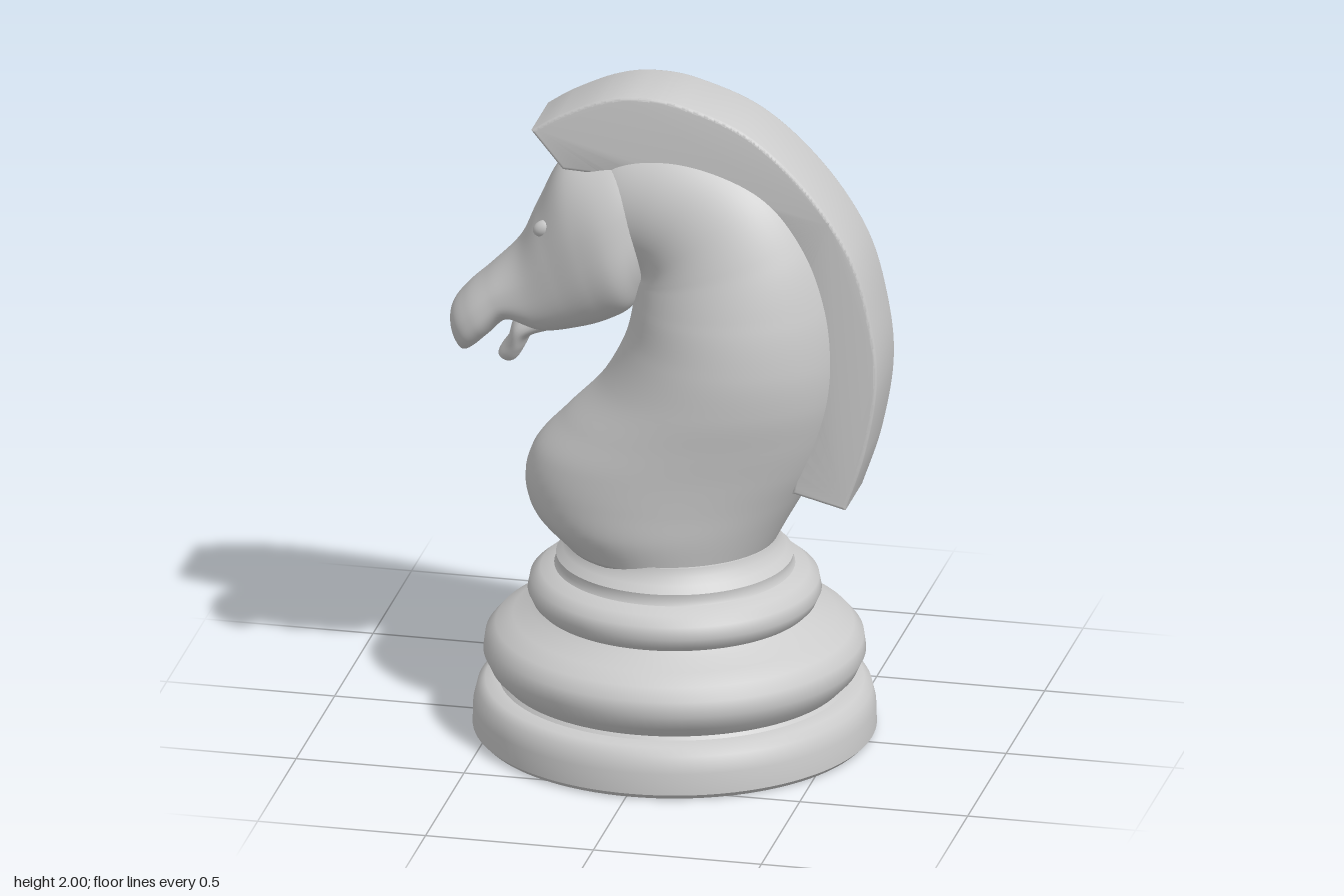
import * as THREE from 'three';
import { toCreasedNormals } from 'three/addons/utils/BufferGeometryUtils.js';

const V = (x, y, z = 0) => new THREE.Vector3(x, y, z);

// Skin rounded cross-sections. Each row: [underX, underY, overX, overY, halfWidth].
// egg > 0 makes the under side wider; power < 1 makes the section boxier.
function loft(rows, steps, egg = 0, power = 1, sides = 56) {
  const under = new THREE.CatmullRomCurve3(rows.map(r => V(r[0], r[1], r[4])));
  const over = new THREE.CatmullRomCurve3(rows.map(r => V(r[2], r[3])));
  const pos = [], index = [];
  for (let i = 0; i <= steps; i++) {
    const f = under.getPoint(i / steps), b = over.getPoint(i / steps);
    for (let j = 0; j < sides; j++) {
      const a = (j / sides) * Math.PI * 2, c = Math.cos(a), s = Math.sin(a);
      const t = (Math.sign(c) * Math.abs(c) ** power + 1) / 2;
      const z = f.z * Math.sign(s) * Math.abs(s) ** power * (1 - egg * c);
      pos.push(f.x + (b.x - f.x) * t, f.y + (b.y - f.y) * t, z);
      if (i < steps) {
        const p = i * sides + j, q = i * sides + (j + 1) % sides;
        index.push(p, p + sides, q, q, p + sides, q + sides);
      }
    }
  }
  // End caps
  const first = rows[0], last = rows[rows.length - 1], n = pos.length / 3, top = steps * sides;
  for (const r of [first, last]) pos.push((r[0] + r[2]) / 2, (r[1] + r[3]) / 2, 0);
  for (let j = 0; j < sides; j++) {
    const k = (j + 1) % sides;
    index.push(n, j, k, n + 1, top + k, top + j);
  }
  const g = new THREE.BufferGeometry();
  g.setAttribute('position', new THREE.Float32BufferAttribute(pos, 3));
  g.setIndex(index);
  g.computeVertexNormals();
  return g;
}

export function createModel() {
  const group = new THREE.Group();
  const material = new THREE.MeshStandardMaterial({ color: 0xcccccc });
  const add = (name, geometry, parent = group) => {
    const mesh = new THREE.Mesh(geometry, material);
    mesh.name = name;
    parent.add(mesh);
    return mesh;
  };

  // Turned base
  const profile = [
    [0, 0], [0.572, 0], [0.587, 0.015], [0.585, 0.08], [0.573, 0.13], [0.55, 0.15], [0.51, 0.156],
    [0.502, 0.166], [0.535, 0.2], [0.556, 0.245], [0.55, 0.29], [0.52, 0.325], [0.47, 0.352],
    [0.42, 0.377], [0.4, 0.392], [0.413, 0.405], [0.427, 0.435], [0.42, 0.472], [0.39, 0.497],
    [0.35, 0.512], [0.343, 0.525], [0.345, 0.545], [0.325, 0.565], [0.306, 0.585], [0.3, 0.61], [0, 0.61],
  ].map(p => new THREE.Vector2(...p));
  add('base', toCreasedNormals(new THREE.LatheGeometry(profile, 96), 0.7)).position.x = 0.013;

  // Chest and neck, fanning over the crest towards the forehead
  add('neck', loft([
    [-0.30, 0.585, 0.30, 0.585, 0.295],
    [-0.40, 0.68, 0.35, 0.68, 0.315],
    [-0.425, 0.77, 0.40, 0.77, 0.316],
    [-0.40, 0.865, 0.45, 0.865, 0.315],
    [-0.31, 0.97, 0.49, 0.97, 0.315],
    [-0.20, 1.09, 0.52, 1.09, 0.317],
    [-0.125, 1.235, 0.53, 1.22, 0.31],
    [-0.10, 1.35, 0.515, 1.39, 0.285],
    [-0.09, 1.40, 0.455, 1.58, 0.25],
    [-0.085, 1.41, 0.34, 1.74, 0.22],
    [-0.085, 1.42, 0.17, 1.83, 0.195],
    [-0.09, 1.43, 0.01, 1.86, 0.18],
    [-0.10, 1.43, -0.16, 1.84, 0.16],
    [-0.13, 1.43, -0.27, 1.76, 0.12],
  ], 110, 0.04));

  // Head from cheek to nose
  const head = new THREE.Group();
  head.name = 'head';
  group.add(head);
  add('skull', loft([
    [-0.05, 1.48, 0.0, 1.77, 0.09],
    [-0.07, 1.39, -0.10, 1.82, 0.17],
    [-0.10, 1.32, -0.21, 1.805, 0.198],
    [-0.165, 1.275, -0.315, 1.755, 0.19],
    [-0.26, 1.24, -0.39, 1.615, 0.165],
    [-0.37, 1.22, -0.445, 1.495, 0.142],
    [-0.465, 1.25, -0.535, 1.395, 0.13],
    [-0.53, 1.195, -0.602, 1.33, 0.13],
    [-0.572, 1.155, -0.643, 1.275, 0.115],
    [-0.60, 1.137, -0.648, 1.22, 0.075],
    [-0.617, 1.15, -0.638, 1.185, 0.02],
  ], 90, 0.14, 0.85), head);

  // Lower jaw
  add('lowerJaw', loft([
    [-0.33, 1.225, -0.40, 1.32, 0.10],
    [-0.405, 1.20, -0.455, 1.255, 0.11],
    [-0.43, 1.155, -0.475, 1.19, 0.095],
    [-0.45, 1.12, -0.505, 1.142, 0.075],
    [-0.475, 1.11, -0.507, 1.125, 0.035],
  ], 30, 0, 0.85, 40), head);

  // Eyes
  for (const side of [-1, 1]) {
    const eye = add(side > 0 ? 'leftEye' : 'rightEye', new THREE.SphereGeometry(0.03, 24, 16), head);
    eye.position.set(-0.35, 1.57, side * 0.122);
    eye.scale.set(1.1, 0.8, 0.7);
    eye.rotation.z = 0.5;
  }

  // Mane: a thick band following the crest
  const inset = 0.01;
  const pts = a => a.map(p => new THREE.Vector2(...p));
  const shape = new THREE.Shape();
  shape.moveTo(-0.29, 1.765);
  shape.lineTo(-0.375, 1.867);
  shape.splineThru(pts([[-0.30, 1.915], [-0.18, 1.97], [-0.07, 1.99], [0.06, 1.975], [0.25, 1.9],
    [0.425, 1.745], [0.555, 1.55], [0.615, 1.34], [0.63, 1.155], [0.595, 0.945], [0.54, 0.775]]));
  shape.lineTo(0.40, 0.81);
  shape.splineThru(pts([[0.43, 1.0], [0.43, 1.2], [0.38, 1.45], [0.25, 1.63], [0.06, 1.73], [-0.12, 1.755], [-0.29, 1.765]]));
  const mane = new THREE.ExtrudeGeometry(shape, {
    depth: 0.236 - 2 * inset, bevelSize: inset, bevelThickness: inset, bevelSegments: 3, curveSegments: 60,
  });
  mane.translate(0, 0, -0.118 + inset);
  add('mane', toCreasedNormals(mane, 0.6));

  return group;
}
